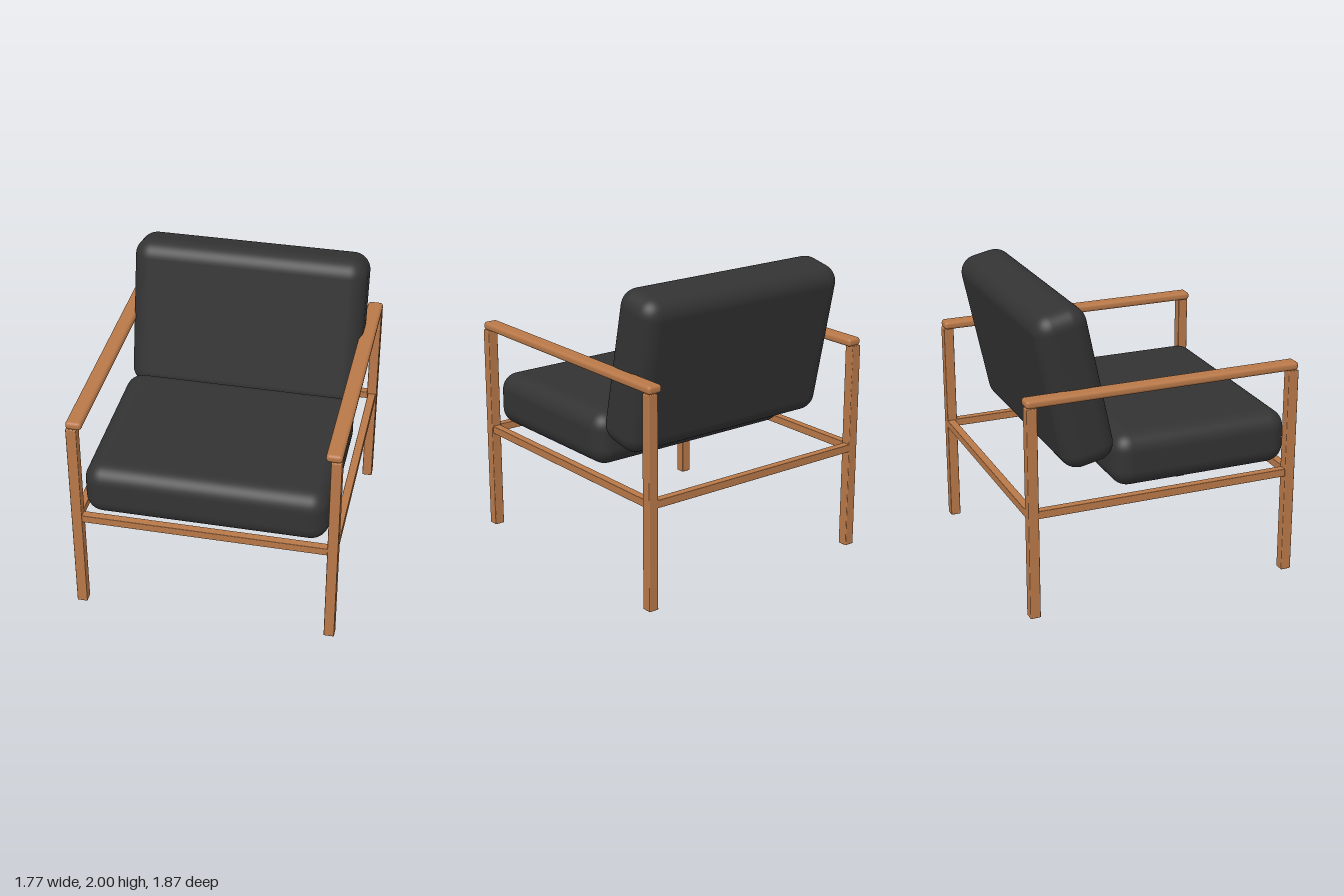
import * as THREE from 'three';
import { RoundedBoxGeometry } from 'three/addons/geometries/RoundedBoxGeometry.js';

export function createModel() {
  const chair = new THREE.Group();
  chair.name = 'armchair';

  const wood = new THREE.MeshStandardMaterial({ color: 0xb87848 });
  wood.name = 'warm wood';
  const fabric = new THREE.MeshStandardMaterial({ color: 0x333333 });
  fabric.name = 'charcoal fabric';

  // Softened block: size and centre as [x, y, z]
  function block(name, size, centre, radius, material, segments = 3) {
    const mesh = new THREE.Mesh(new RoundedBoxGeometry(...size, segments, radius), material);
    mesh.name = name;
    mesh.position.set(...centre);
    chair.add(mesh);
    return mesh;
  }

  for (const side of [1, -1]) {
    const label = side > 0 ? 'left' : 'right';

    // Square legs
    for (const end of [1, -1]) {
      block(`${label}${end > 0 ? 'Front' : 'Back'}Leg`, [0.07, 1.43, 0.07],
        [side * 0.85, 0.715, end * 0.902], 0.006, wood, 2);
    }

    // Armrest on top of the legs, and the side rail between them
    block(`${label}Armrest`, [0.105, 0.055, 1.874], [side * 0.833, 1.4575, 0], 0.022, wood, 4);
    block(`${label}SideRail`, [0.055, 0.053, 1.78], [side * 0.85, 0.715, 0], 0.004, wood, 2);
  }

  // Front and back rails
  block('frontRail', [1.68, 0.053, 0.055], [0, 0.715, 0.905], 0.004, wood, 2);
  block('backRail', [1.68, 0.053, 0.055], [0, 0.715, -0.91], 0.004, wood, 2);

  // Seat cushion and the reclined back cushion
  block('seatCushion', [1.61, 0.367, 1.237], [0, 0.928, 0.306], 0.12, fabric, 6);
  const back = block('backCushion', [1.61, 1.07, 0.362], [0, 1.46, -0.563], 0.12, fabric, 6);
  back.rotation.x = -0.21;

  return chair;
}
